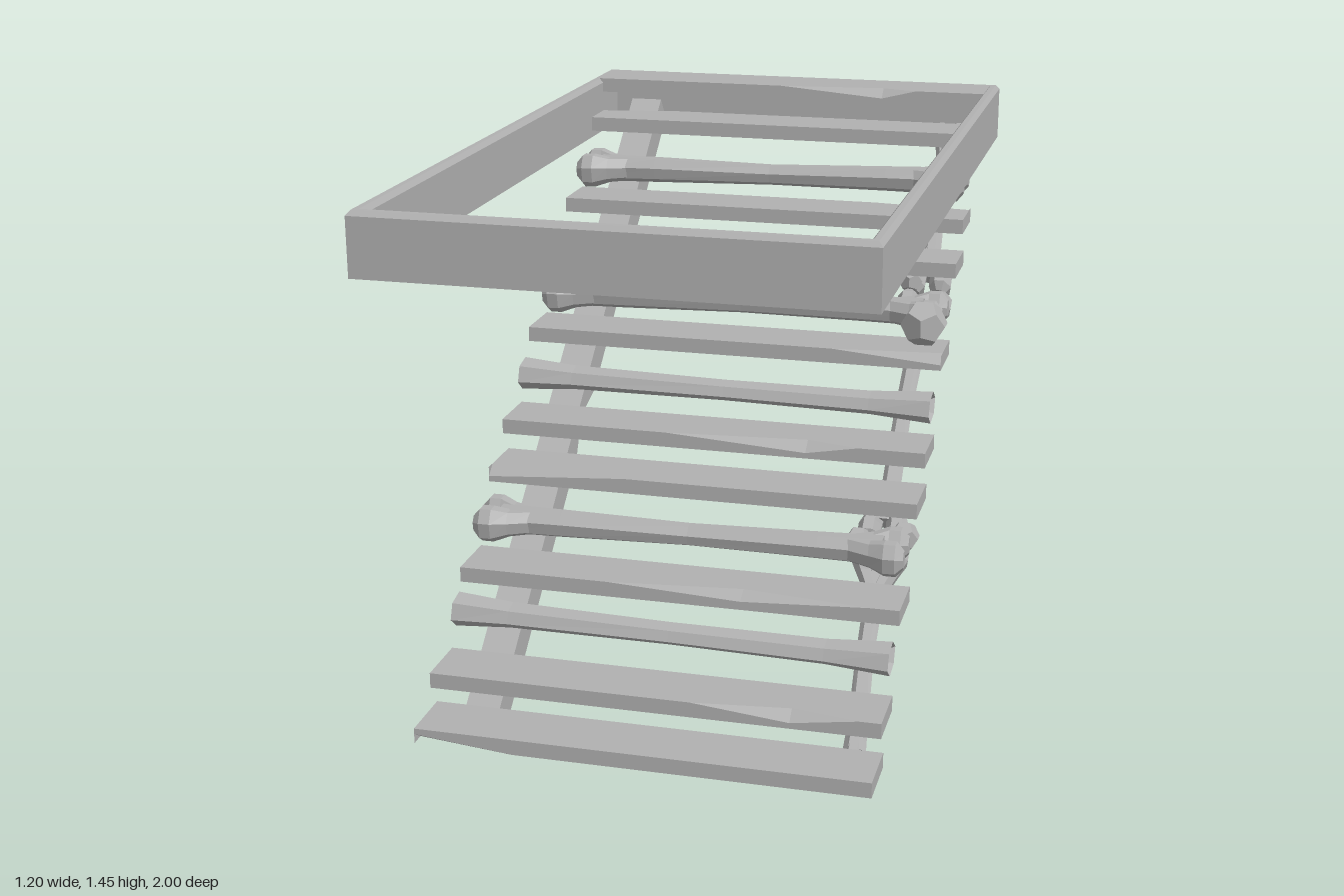
import * as THREE from 'three';
import { mergeGeometries } from 'three/addons/utils/BufferGeometryUtils.js';

const V = (x, y, z) => new THREE.Vector3(x, y, z);
const stone = new THREE.MeshStandardMaterial({ color: 0xb0b0b0 });
stone.name = 'plain grey';

// Faceted surface through closed rings of equal length; optional end cap centres
function skin(rings, startCap, endCap) {
  const pts = [], n = rings[0].length;
  for (let j = 0; j < n; j++) {
    const k = (j + 1) % n;
    for (let i = 0; i < rings.length - 1; i++) {
      const a = rings[i][j], b = rings[i][k], c = rings[i + 1][k], d = rings[i + 1][j];
      pts.push(a, b, d, b, c, d);
    }
    if (startCap) pts.push(startCap, rings[0][k], rings[0][j]);
    if (endCap) pts.push(endCap, rings.at(-1)[j], rings.at(-1)[k]);
  }
  const g = new THREE.BufferGeometry().setFromPoints(pts);
  g.computeVertexNormals();
  return g;
}

// Loft along x; stations are [x, y, z, radiusY, radiusZ], notch hollows the ends
function loft(stations, sides = 7, notch = 0) {
  const rings = stations.map(([x, y, z, ry, rz]) =>
    Array.from({ length: sides }, (_, j) => {
      const t = (j + 0.5) / sides * Math.PI * 2;
      return V(x, y + ry * Math.cos(t), z + rz * Math.sin(t));
    }));
  const s = stations[0], e = stations.at(-1);
  return skin(rings, V(s[0] + notch, s[1], s[2]), V(e[0] - notch, e[1], e[2]));
}

// Box along x with one splinter knocked out of an edge
// chip: edge (0 top front, 1 bottom front, 2 bottom back, 3 top back), from, deepest, to
function chippedBox(len, h, d, chip) {
  const corners = [[1, 1], [-1, 1], [-1, -1], [1, -1]];
  const { edge = 0, from = 0, mid = 0, to = 0, dy = 0, dz = 0 } = chip || {};
  const xs = [-len / 2, from, mid, to, len / 2];
  const rings = xs.map((x, i) => corners.flatMap(([sy, sz], c) => {
    const on = i === 2 && c === edge ? 1 : 0;
    const y = sy * h / 2, z = sz * d / 2;
    const pair = [V(x, y, z - sz * dz * on), V(x, y - sy * dy * on, z)];
    return c % 2 ? pair.reverse() : pair;
  }));
  return skin(rings, V(-len / 2, 0, 0), V(len / 2, 0, 0));
}

// Bone along x; each end is { fork, size }: two knuckles spread in z, or one if fork is 0
function boneGeometry(len, r, left, right) {
  const h = len / 2;
  const parts = [loft([
    [-h + 0.06, 0, 0, r * 1.15, r * 1.2], [-h + len * 0.2, 0, 0, r * 1.1, r * 1.05],
    [0, -r * 0.1, -r * 0.2, r * 0.88, r * 0.95],
    [h - len * 0.2, 0, 0, r * 1.05, r * 1.05], [h - 0.06, 0, 0, r * 1.15, r * 1.2],
  ])];
  for (const [s, { fork, size }] of [[-1, left], [1, right]]) {
    for (const side of fork ? [-1, 1] : [0]) {
      const z = side * fork;
      const st = [
        [s * (h - 0.15), 0, z * 0.1, r, r * 0.9],
        [s * (h - 0.09), 0, z * 0.65, size * 0.75, size * 0.65],
        [s * (h - 0.05), 0, z, size, size * 0.75],
        [s * (h - 0.02), 0, z, size, size * 0.75],
        [s * h, 0, z, size * 0.5, size * 0.4],
      ];
      parts.push(loft(s < 0 ? st.reverse() : st));
    }
  }
  return mergeGeometries(parts);
}

export function createModel() {
  const group = new THREE.Group();
  const add = (name, geometry) => {
    const m = new THREE.Mesh(geometry, stone);
    m.name = name;
    group.add(m);
    return m;
  };
  // Puts a geometry built along x between two points, its z axis along side
  const span = (name, make, a, b, side) => {
    const X = b.clone().sub(a), len = X.length();
    X.normalize();
    const Y = side.clone().cross(X).normalize(), Z = X.clone().cross(Y);
    const m = new THREE.Matrix4().makeBasis(X, Y, Z).setPosition(a.clone().add(b).multiplyScalar(0.5));
    return add(name, make(len).applyMatrix4(m));
  };

  // Hatch frame with a bevelled upper rim
  const profile = [[0, 1.295], [0, 1.438], [0.01, 1.45], [0.024, 1.45], [0.034, 1.438], [0.034, 1.295], [0, 1.295]];
  add('hatchFrame', skin(profile.map(([i, y]) =>
    [[-1, 1], [1, 1], [1, -1], [-1, -1]].map(([sx, sz]) => V(sx * (0.6 - i), y, sz * (1 - i))))));

  // Plank treads on an even pitch, each with its own chip
  const chip = (edge, from, mid, to, dy = 0.025, dz = 0.03) => ({ edge, from, mid, to, dy, dz });
  const E = 0.575;
  const planks = {
    0: chip(1, -E, -E, -0.32, 0.025, 0.04), 1: chip(0, 0.1, 0.35, 0.52), 3: chip(0, -0.18, 0.17, 0.5, 0.018, 0.04),
    5: chip(0, -E, -E, -0.2), 6: chip(0, -0.12, 0.26, 0.4, 0.025, 0.035), 8: chip(0, 0.28, E, E),
    10: chip(1, -E, -E, -0.27, 0.03, 0.04), 11: chip(3, 0.3, E, E), 13: chip(3, -E, -E, -0.34, 0.02, 0.04),
    14: chip(0, -0.02, 0.28, 0.38),
  };
  for (const [i, c] of Object.entries(planks)) {
    add('plankTread', chippedBox(2 * E, 0.04, 0.157, c)).position.set(0, 0.08 + 0.0965 * i, 0.742 - 0.1172 * i);
  }

  // Whole bone treads: height and depth of the left and right ends
  const front = V(0, 0, 1);
  const treadBones = [[0.47, 0.31, 0.47, 0.285], [0.93, -0.3, 0.945, -0.28], [1.22, -0.635, 1.235, -0.63]];
  for (const [yl, zl, yr, zr] of treadBones) {
    span('boneTread', len => boneGeometry(len, 0.034, { fork: 0.042, size: 0.05 }, { fork: 0.05, size: 0.048 }),
      V(-0.575, yl, zl), V(0.56, yr, zr), front);
  }

  // Split bone treads with flared, notched ends
  for (const [y, z] of [[0.28, 0.5], [0.75, -0.065]]) {
    const g = loft([
      [-0.58, 0, 0, 0.042, 0.05], [-0.43, 0, 0, 0.03, 0.04], [0, 0, 0, 0.025, 0.036],
      [0.4, 0, 0, 0.028, 0.04], [0.565, 0, 0, 0.04, 0.05],
    ], 6, 0.06);
    g.rotateX(0.25).rotateY(-0.025);
    add('splitBoneTread', g).position.set(0, y, z);
  }

  // Straight wooden rail on the right
  const across = V(1, 0, 0);
  span('woodenRail', len => chippedBox(len, 0.083, 0.09, chip(1, -0.2, -0.09, 0.03, 0.05, 0.06)),
    V(-0.46, 0.034, 0.64), V(-0.46, 1.344, -0.95), across);

  // Rail of three bones end to end on the left
  const joints = [V(0.495, 0.02, 0.645), V(0.475, 0.44, 0.165), V(0.485, 0.955, -0.43), V(0.47, 1.335, -0.93)];
  for (let i = 0; i < 3; i++) {
    const low = i ? { fork: 0.036, size: 0.042 } : { fork: 0, size: 0.034 };
    const high = i < 2 ? { fork: 0.045, size: 0.042 } : { fork: 0.025, size: 0.03 };
    span('boneRail', len => boneGeometry(len, 0.025, low, high), joints[i], joints[i + 1], across);
  }

  // Loose knuckles around the bone joints
  for (const [x, y, z, r] of [[0.52, 0.945, -0.165, 0.064], [0.51, 0.95, -0.225, 0.04], [0.42, 0.46, 0.2, 0.035], [0.54, 0.48, 0.2, 0.04], [0.44, 0.99, -0.44, 0.036]]) {
    add('knuckle', new THREE.DodecahedronGeometry(r)).position.set(x, y, z);
  }
  return group;
}
